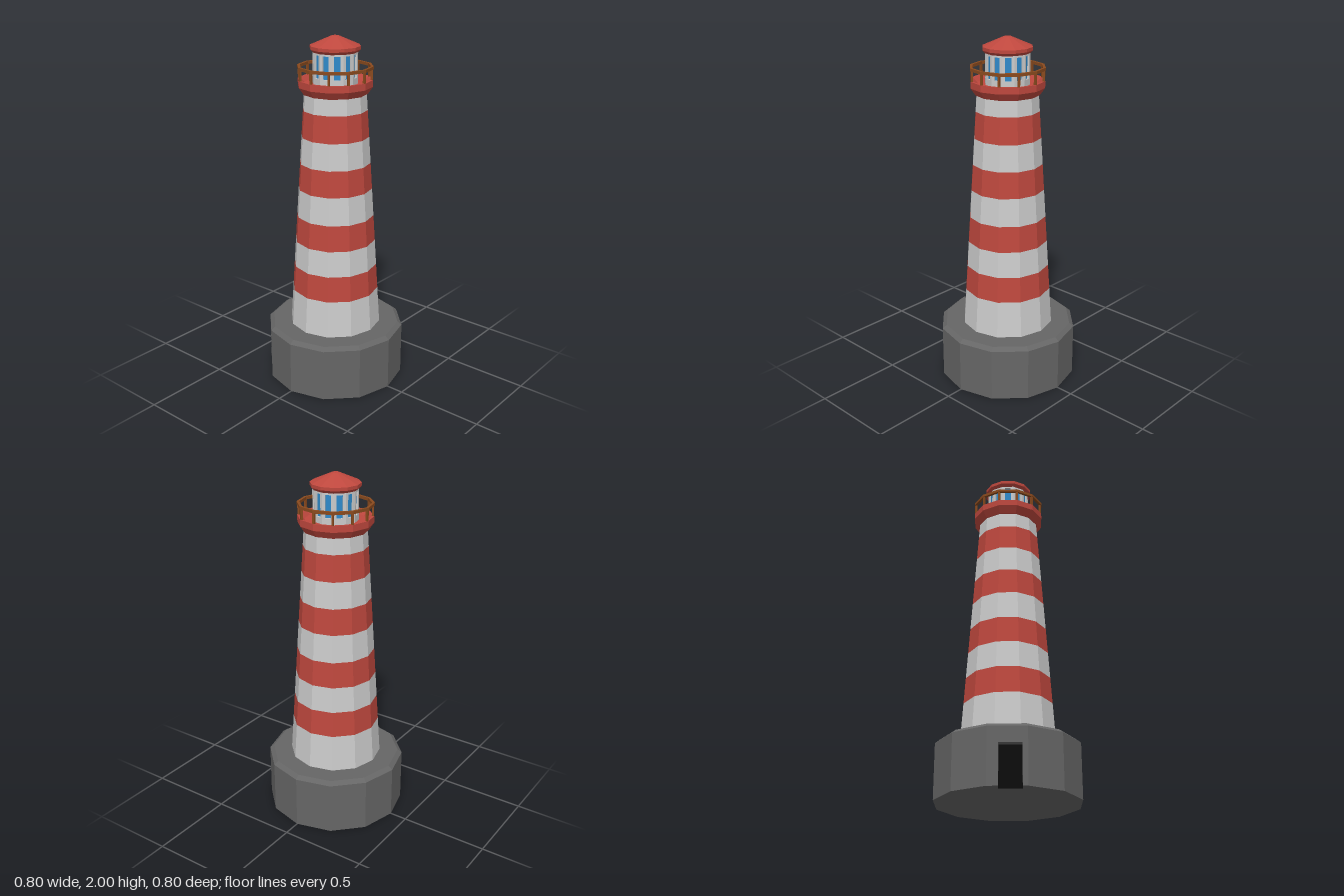
import * as THREE from 'three';

const SIDES = 12;
const STEP = (Math.PI * 2) / SIDES;

const mat = (color) => new THREE.MeshStandardMaterial({ color, flatShading: true });
const white = mat(0xcccccc);
const red = mat(0xbf483e);
const stone = mat(0x666666);
const brown = mat(0x8a4a1e);
const blue = mat(0x2f8acb);
const black = mat(0x0c0c0c);

function add(parent, name, geometry, material) {
  const mesh = new THREE.Mesh(geometry, material);
  mesh.name = name;
  parent.add(mesh);
  return mesh;
}

// Twelve-sided turned part from [radius, height] pairs, bottom to top
function turned(points) {
  return new THREE.LatheGeometry(points.map(([r, y]) => new THREE.Vector2(r, y)), SIDES);
}

function createBase(group) {
  const doorTop = 0.22, apothem = 0.4 * Math.cos(STEP / 2), depth = 0.045;
  const left = -0.045, right = 0.075;

  // Footprint with a doorway notch cut in the front right facet
  const shape = new THREE.Shape();
  const s = Math.SQRT1_2;
  const put = (x, z, first) => (first ? shape.moveTo(x, -z) : shape.lineTo(x, -z));
  const notch = [[left, apothem], [left, apothem - depth], [right, apothem - depth], [right, apothem]];
  for (let i = 0; i < SIDES; i++) {
    const a = -Math.PI / 3 + i * STEP;
    put(0.4 * Math.sin(a), 0.4 * Math.cos(a), i === 0);
    if (i === 0) notch.forEach(([t, n]) => put((t - n) * s, (t + n) * s));
  }
  const lower = new THREE.ExtrudeGeometry(shape, { depth: doorTop, bevelEnabled: false });
  lower.rotateX(-Math.PI / 2);
  add(group, 'baseLower', lower, stone);
  add(group, 'baseUpper', turned([[0, doorTop], [0.4, doorTop], [0.4, 0.305], [0.375, 0.325], [0, 0.325]]), stone);

  const door = add(group, 'door', new THREE.BoxGeometry(right - left, doorTop, 0.01), black);
  door.geometry.translate((left + right) / 2, doorTop / 2, apothem - depth);
  door.rotation.y = -Math.PI / 4;
}

function createTower(group) {
  // Alternating white and red bands on one straight taper
  const levels = [0.32, 0.54, 0.69, 0.84, 0.99, 1.15, 1.3, 1.45, 1.6, 1.7];
  const radius = (y) => THREE.MathUtils.mapLinear(y, 0.32, 1.7, 0.266, 0.174);
  for (let i = 0; i < levels.length - 1; i++) {
    const [a, b] = [levels[i], levels[i + 1]];
    add(group, i % 2 ? 'redBand' : 'whiteBand', turned([[radius(a), a], [radius(b), b]]), i % 2 ? red : white);
  }
}

function createGallery(group) {
  add(group, 'galleryDeck', turned([
    [0, 1.69], [0.18, 1.69], [0.208, 1.73], [0.208, 1.767], [0.195, 1.767], [0.17, 1.745], [0, 1.745],
  ]), red);
  add(group, 'handrail', turned([
    [0.195, 1.824], [0.21, 1.824], [0.21, 1.84], [0.195, 1.84], [0.195, 1.824],
  ]), brown);
  for (let i = 0; i < SIDES; i++) {
    const post = add(group, 'railPost', new THREE.BoxGeometry(0.012, 0.075, 0.012), brown);
    post.position.set(0.2 * Math.sin(i * STEP), 1.793, 0.2 * Math.cos(i * STEP));
    post.rotation.y = i * STEP;
  }
}

function createLantern(group) {
  add(group, 'lanternGlass', turned([[0.114, 1.745], [0.114, 1.915]]), blue);

  // One wall panel with a window opening for each side
  const w = 0.125 * Math.sin(STEP / 2), h = 0.017;
  const panel = new THREE.Shape();
  panel.moveTo(-w, 1.745).lineTo(w, 1.745).lineTo(w, 1.92).lineTo(-w, 1.92).closePath();
  const hole = new THREE.Path();
  hole.moveTo(-h, 1.78).lineTo(-h, 1.905).lineTo(h, 1.905).lineTo(h, 1.78).closePath();
  panel.holes.push(hole);
  const wall = new THREE.ExtrudeGeometry(panel, { depth: 0.012, bevelEnabled: false });
  wall.translate(0, 0, 0.125 * Math.cos(STEP / 2) - 0.012);
  for (let i = 0; i < SIDES; i++) {
    add(group, 'lanternWall', wall, white).rotation.y = (i + 0.5) * STEP;
  }

  add(group, 'roof', turned([
    [0, 1.915], [0.125, 1.915], [0.139, 1.93], [0.139, 1.948], [0.02, 2], [0, 2],
  ]), red);
}

export function createModel() {
  const model = new THREE.Group();
  model.name = 'lighthouse';
  const parts = { base: createBase, tower: createTower, gallery: createGallery, lantern: createLantern };
  for (const [name, build] of Object.entries(parts)) {
    const group = new THREE.Group();
    group.name = name;
    build(group);
    model.add(group);
  }
  return model;
}
